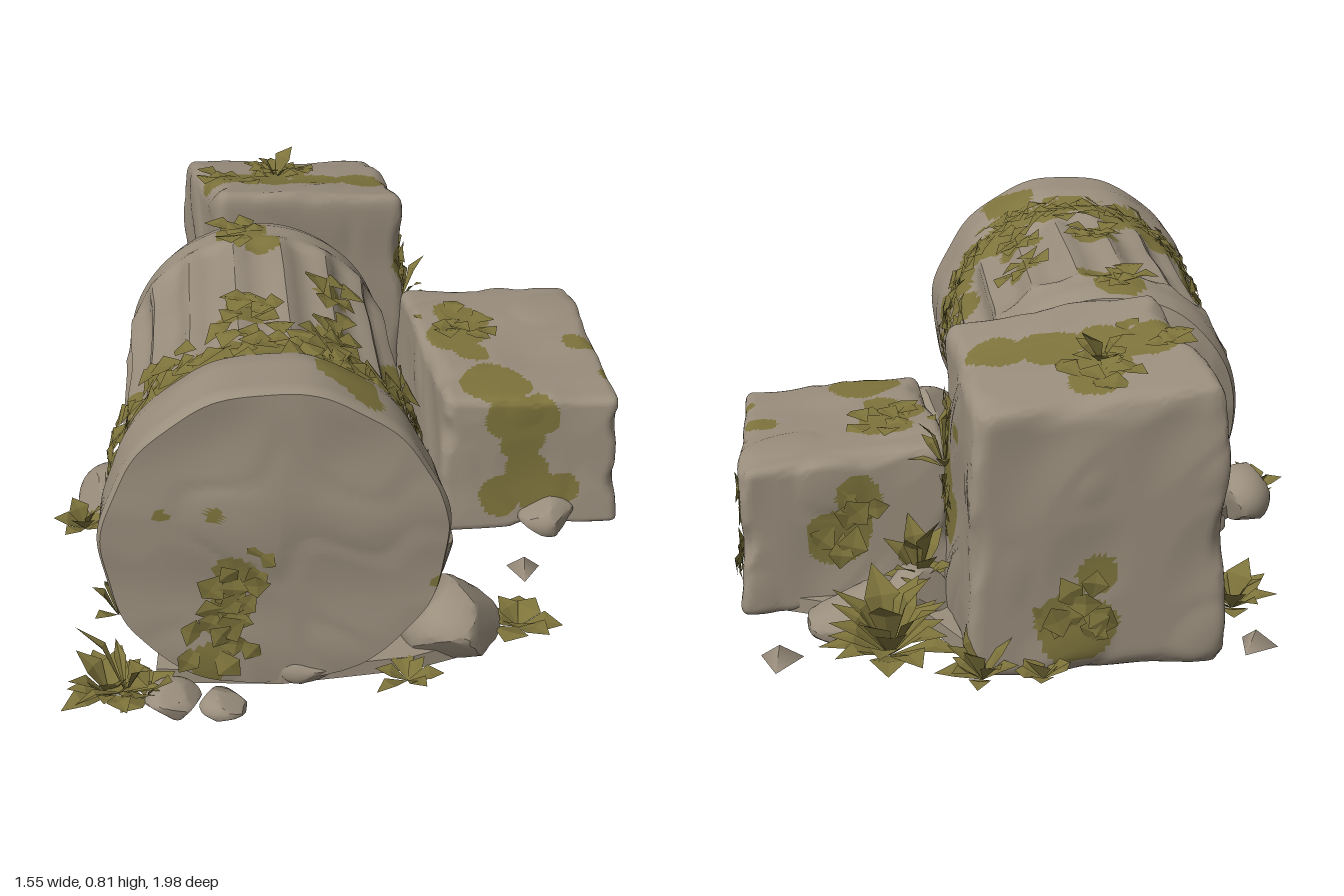
import * as THREE from 'three';
import { toCreasedNormals } from 'three/addons/utils/BufferGeometryUtils.js';

const V = (x, y, z) => new THREE.Vector3(x, y, z);
const AXIS = { x: -0.21, y: 0.402 }; // centre line of the fallen column

// Repeatable random numbers and a smooth bumpy field
let seed = 7;
const rnd = () => (seed = (seed * 16807) % 2147483647) / 2147483647;
const spread = (s) => (rnd() * 2 - 1) * s;
const bump = (p) =>
  0.5 * Math.sin(9 * p.x + 2 * Math.sin(7 * p.y + 1)) * Math.cos(8 * p.z + 1.5 * Math.sin(6 * p.x)) +
  0.3 * Math.sin(17 * p.y + 2 * Math.sin(11 * p.z)) + 0.2 * Math.sin(23 * p.x + 19 * p.z + 15 * p.y);

function eachVertex(geo, rule) {
  const pos = geo.attributes.position, p = V(0, 0, 0);
  for (let i = 0; i < pos.count; i++) {
    rule(p.fromBufferAttribute(pos, i));
    pos.setXYZ(i, p.x, Math.max(0, p.y), p.z);
  }
}

// Sorts the triangles into a stone group and a moss group
function paintMoss(geo, isMoss, crease) {
  const pos = geo.attributes.position, idx = geo.index.array, lists = [[], []], c = V(0, 0, 0), q = V(0, 0, 0);
  for (let i = 0; i < idx.length; i += 3) {
    c.set(0, 0, 0);
    for (let k = 0; k < 3; k++) c.addScaledVector(q.fromBufferAttribute(pos, idx[i + k]), 1 / 3);
    lists[isMoss(c) ? 1 : 0].push(idx[i], idx[i + 1], idx[i + 2]);
  }
  geo.setIndex([...lists[0], ...lists[1]]);
  geo.clearGroups();
  geo.addGroup(0, lists[0].length, 0);
  geo.addGroup(lists[0].length, lists[1].length, 1);
  return toCreasedNormals(geo, crease);
}
const inBlobs = (blobs) => (c) => blobs.some(([x, y, z, r]) =>
  Math.hypot(c.x - x, c.y - y, c.z - z) < r * (1 + 0.15 * Math.sin(30 * c.x + 20 * c.y) * Math.cos(28 * c.z + 16 * c.y)));

// Worn block: rounded, chipped cube stretched over eight corners (bottom then top: LB, RB, RF, LF)
function blockGeometry(corners, blobs) {
  const geo = new THREE.BoxGeometry(2, 2, 2, 46, 46, 46), c = V(0, 0, 0), q = V(0, 0, 0);
  eachVertex(geo, (p) => {
    const r = 0.1 + 0.16 * Math.max(0, bump(q.copy(p).multiplyScalar(0.4))), k = 1 - r;
    c.copy(p).clampScalar(-k, k);
    p.sub(c).setLength(r).add(c);
    const u = (p.x + 1) / 2, v = (p.y + 1) / 2, w = (p.z + 1) / 2, out = V(0, 0, 0);
    corners.forEach((corner, i) => {
      const e = i % 4, wx = e === 1 || e === 2 ? u : 1 - u, wz = e >= 2 ? w : 1 - w;
      out.addScaledVector(V(...corner), wx * wz * (i < 4 ? 1 - v : v));
    });
    const b = bump(out), n = b * 0.012 - 0.012 * Math.max(0, 0.25 - Math.abs(b - 0.3)) + 0.003;
    p.set(out.x + p.x * n, out.y + p.y * n, out.z + p.z * n);
  });
  return paintMoss(geo, inBlobs(blobs), 1);
}

// Column drum: lathe profile along z, flutes carved by angle
function columnGeometry(blobs) {
  const keys = [[0, -0.265], [0.29, -0.275], [0.33, -0.255], [0.347, -0.2], [0.352, -0.13], [0.362, -0.1], [0.362, 0.5],
    [0.372, 0.54], [0.372, 0.59], [0.39, 0.625], [0.402, 0.68], [0.407, 0.815], [0.399, 0.836], [0, 0.838]];
  const profile = [new THREE.Vector2(...keys[0])];
  for (let i = 1; i < keys.length; i++) {
    const a = new THREE.Vector2(...keys[i - 1]), b = new THREE.Vector2(...keys[i]);
    const n = Math.ceil(a.distanceTo(b) / 0.02);
    for (let k = 1; k <= n; k++) profile.push(a.clone().lerp(b, k / n));
  }
  const geo = new THREE.LatheGeometry(profile, 144).rotateX(Math.PI / 2);
  const step = THREE.MathUtils.smoothstep;
  eachVertex(geo, (p) => {
    const r = Math.hypot(p.x, p.y), a = Math.atan2(p.y, p.x), n = bump(p);
    let d = n * 0.007;
    if (p.z > 0.6) d += 0.006 * Math.sin(7 * a + 1) * Math.sin(4 * a) - 0.03 * step(p.z, 0.72, 0.83) * Math.max(0, n - 0.3);
    const flute = THREE.MathUtils.clamp(Math.abs(Math.sin(9 * a)) * 1.25 - 0.25, 0, 1);
    const wear = 1 - 0.45 * step(p.y, 0, 0.3);
    d -= 0.038 * wear * flute * step(p.z, -0.13, -0.07) * (1 - step(p.z, 0.46, 0.53));
    const s = r > 0.25 ? 1 + d / r : 1;
    const dent = 0.015 * Math.max(0, 0.25 - Math.abs(n - 0.2));
    p.set(p.x * s + AXIS.x, p.y * s + AXIS.y, p.z + n * 0.014 - Math.sign(p.z) * dent);
  });
  const blob = inBlobs(blobs);
  return paintMoss(geo, (c) => {
    const a = Math.atan2(c.y - AXIS.y, c.x - AXIS.x);
    const lo = 0.495 + 0.04 * Math.sin(9 * a) * Math.sin(4 * a + 1), hi = 0.612 + 0.015 * Math.sin(13 * a);
    return (c.z > lo && c.z < hi) || blob(c);
  }, 0.6);
}

// Boulder: sphere cut by random planes
function rockGeometry([x, y, z, rx, ry, rz]) {
  const geo = new THREE.IcosahedronGeometry(1, 5);
  const cuts = Array.from({ length: 11 }, () => [V(spread(1), spread(1), spread(1)).normalize(), 0.62 + rnd() * 0.2]);
  eachVertex(geo, (p) => {
    for (const [n, d] of cuts) p.addScaledVector(n, -0.95 * Math.max(0, p.dot(n) - d));
    p.set(x + p.x * rx * 1.15, y + p.y * ry * 1.15, z + p.z * rz * 1.15);
  });
  geo.deleteAttribute('normal');
  return toCreasedNormals(geo, 0.5);
}

// Leaf: four triangles folded along the midrib
function addLeaf(out, base, dir, up, len, wid) {
  const side = V(0, 0, 0).crossVectors(dir, up).normalize();
  const at = (f, s, h) => base.clone().addScaledVector(dir, f * len).addScaledVector(side, s * wid).addScaledVector(up, h * len);
  const b = at(0, 0, 0), m = at(0.6, 0, 0.08), l = at(0.58, -0.5, 0.12), r = at(0.58, 0.5, 0.12), t = at(1, 0, -0.05);
  [b, r, m, b, m, l, m, r, t, m, t, l].forEach((p) => out.push(p.x, Math.max(0.002, p.y), p.z));
}
function leafGeometry(points) {
  const geo = new THREE.BufferGeometry();
  geo.setAttribute('position', new THREE.Float32BufferAttribute(points, 3));
  geo.computeVertexNormals();
  return geo;
}

// Tuft of leaves fanning out of the ground
function tuftGeometry([x, y, z, radius, height, count, width = 0.065]) {
  const out = [];
  for (let i = 0; i < count; i++) {
    const a = i * 2.4 + spread(0.3), lift = (i / count) ** 1.4;
    const flat = radius * (1 - 0.4 * lift) * (0.8 + rnd() * 0.25);
    const dir = V(Math.cos(a) * flat, 0.02 + height * lift, Math.sin(a) * flat);
    const len = dir.length(), up = V(-Math.cos(a) * lift, 1, -Math.sin(a) * lift).normalize();
    addLeaf(out, V(x, y + 0.015, z), dir.normalize(), up, len, width * (0.8 + rnd() * 0.4));
  }
  return leafGeometry(out);
}

// Ivy patch: leaves lying across a surface with the given normal
function ivyLeaves(out, centre, normal, count, size) {
  const t = V(0, 0, 0).crossVectors(normal, Math.abs(normal.y) > 0.8 ? V(1, 0, 0) : V(0, 1, 0)).normalize();
  const s = V(0, 0, 0).crossVectors(normal, t);
  for (let i = 0; i < count; i++) {
    const p = centre.clone().addScaledVector(t, spread(size)).addScaledVector(s, spread(size));
    const a = rnd() * 6.283;
    const dir = t.clone().multiplyScalar(Math.cos(a)).addScaledVector(s, Math.sin(a)).addScaledVector(normal, rnd() * 0.25);
    addLeaf(out, p, dir.normalize(), normal, 0.065 + rnd() * 0.04, 0.055 + rnd() * 0.03);
  }
}

export function createModel() {
  seed = 7;
  const group = new THREE.Group();
  const make = (name, color, side = THREE.FrontSide) => Object.assign(new THREE.MeshStandardMaterial({ color, side }), { name });
  const stone = make('stone', 0x9a8e7d), moss = make('moss', 0x7d733c);
  const leaf = make('leaf', 0x7d733b, THREE.DoubleSide);
  const add = (name, geo, mat) => {
    const mesh = new THREE.Mesh(geo, mat);
    mesh.name = name;
    group.add(mesh);
  };

  // Low rubble bed
  const outline = [[-0.5, 0.8], [-0.2, 0.83], [0.12, 0.8], [0.3, 0.74], [0.27, 0.57], [0.16, 0.48], [0.2, 0.36], [0.19, 0.22], [0.28, 0.14],
    [0.7, 0.14], [0.7, -0.45], [0.44, -0.56], [0.3, -0.58], [0.16, -0.84], [-0.35, -0.8], [-0.3, -0.3], [-0.42, -0.22], [-0.6, 0],
    [-0.5, 0.3], [-0.48, 0.5]];
  const bed = new THREE.Shape(outline.map(([x, z]) => new THREE.Vector2(x, -z)));
  add('rubbleBed', new THREE.ExtrudeGeometry(bed, { depth: 0.04, bevelEnabled: false }).rotateX(-Math.PI / 2), stone);

  // Fallen column
  add('fallenColumn', columnGeometry([
    [-0.25, 0.75, -0.17, 0.075], [-0.2, 0.75, -0.08, 0.05], [-0.25, 0.75, 0.32, 0.07], [-0.02, 0.7, 0.15, 0.05], [-0.03, 0.7, 0.4, 0.07],
    [-0.03, 0.77, 0.68, 0.08], [0, 0.74, 0.76, 0.05], [0.13, 0.52, 0.3, 0.07], [0.14, 0.52, 0.42, 0.07], [-0.47, 0.5, 0.84, 0.018],
    [-0.35, 0.5, 0.84, 0.024], [-0.31, 0.33, 0.84, 0.05], [-0.32, 0.23, 0.84, 0.055], [-0.36, 0.09, 0.84, 0.055],
    [-0.56, 0.5, 0.4, 0.07], [0.17, 0.26, 0.77, 0.06], [0.12, 0.16, 0.76, 0.07], [0.14, 0.27, 0.25, 0.06]]), [stone, moss]);

  // Two tumbled blocks
  add('tallBlock', blockGeometry([
    [-0.41, 0, -0.85], [0.2, 0, -0.89], [0.235, 0, -0.4], [-0.33, 0, -0.32],
    [-0.4, 0.69, -0.85], [0.18, 0.655, -0.895], [0.218, 0.725, -0.42], [-0.3, 0.775, -0.36]],
  [[-0.1, 0.68, -0.77, 0.06], [-0.12, 0.69, -0.69, 0.08], [-0.27, 0.72, -0.58, 0.08], [-0.16, 0.71, -0.59, 0.08], [-0.02, 0.7, -0.59, 0.08],
    [0.11, 0.69, -0.6, 0.07], [0.22, 0.5, -0.47, 0.06], [0.22, 0.38, -0.49, 0.07], [0.22, 0.26, -0.52, 0.08], [0.21, 0.52, -0.64, 0.025],
    [-0.05, 0.12, -0.88, 0.09], [-0.1, 0.25, -0.88, 0.05], [-0.39, 0.15, -0.6, 0.08]]), [stone, moss]);
  add('lowBlock', blockGeometry([
    [0.19, 0, -0.46], [0.735, 0, -0.5], [0.75, 0, 0.18], [0.26, 0, 0.2],
    [0.22, 0.425, -0.45], [0.73, 0.385, -0.5], [0.745, 0.365, 0.16], [0.28, 0.395, 0.18]],
  [[0.37, 0.4, -0.27, 0.08], [0.35, 0.41, -0.17, 0.085], [0.38, 0.4, -0.08, 0.05], [0.42, 0.39, 0.09, 0.09], [0.69, 0.37, -0.15, 0.045],
    [0.45, 0.34, 0.18, 0.065], [0.52, 0.33, 0.18, 0.06], [0.49, 0.26, 0.18, 0.06], [0.5, 0.17, 0.18, 0.06], [0.43, 0.1, 0.18, 0.06],
    [0.53, 0.1, 0.18, 0.06], [0.6, 0.11, 0.18, 0.045], [0.74, 0.25, -0.2, 0.05], [0.75, 0.17, -0.21, 0.07], [0.75, 0.08, -0.24, 0.07],
    [0.74, 0.36, 0.02, 0.03], [0.5, 0.2, -0.48, 0.08], [0.45, 0.3, -0.47, 0.06]]), [stone, moss]);

  // Loose rocks: centre then radii
  [[0.23, 0.06, 0.67, 0.12, 0.1, 0.14], [0.21, 0.05, 0.34, 0.08, 0.08, 0.1], [0.56, 0.03, 0.2, 0.07, 0.05, 0.06],
    [-0.63, 0.05, 0.05, 0.08, 0.08, 0.11], [0.45, 0.05, -0.64, 0.11, 0.08, 0.1], [0.32, 0.05, -0.55, 0.09, 0.08, 0.08],
    [-0.46, 0.025, 0.9, 0.06, 0.04, 0.06], [-0.34, 0.025, 0.92, 0.055, 0.03, 0.05], [-0.12, 0.03, 0.79, 0.1, 0.05, 0.05],
    [-0.2, 0.03, -0.3, 0.16, 0.05, 0.08], [0.11, 0.04, 0.5, 0.1, 0.06, 0.1], [-0.45, 0.04, -0.1, 0.12, 0.06, 0.12],
    [-0.46, 0.04, 0.35, 0.1, 0.05, 0.12]].forEach((r, i) => add('rock' + (i + 1), rockGeometry(r), stone));

  // Sharp three-sided stone chips: position, radius, turn
  [[-0.5, -0.78, 0.055, 0.4], [0.64, -0.75, 0.06, 0.9], [0.46, 0.41, 0.05, 2]].forEach(([x, z, r, turn], i) =>
    add('chip' + (i + 1), new THREE.ConeGeometry(r, 0.045, 3).toNonIndexed().rotateY(turn).translate(x, 0.0225, z), stone));

  // Ground plants: foot, reach, height, leaf count, leaf width
  [[0.38, 0, -0.77, 0.18, 0.2, 26, 0.08], [-0.48, 0, -0.6, 0.12, 0.11, 15], [0.17, 0, -0.91, 0.11, 0.12, 12], [0.03, 0, -0.92, 0.08, 0.06, 6],
    [0.3, 0.08, -0.53, 0.11, 0.18, 13], [0.23, 0.36, -0.48, 0.1, 0.22, 8, 0.045], [-0.7, 0, 0.14, 0.09, 0.08, 9], [0.4, 0, 0.67, 0.11, 0.05, 8, 0.08],
    [-0.61, 0, 0.86, 0.13, 0.1, 13], [-0.57, 0.03, 0.89, 0.14, 0.24, 5, 0.035], [-0.52, 0, 0.88, 0.11, 0.08, 9], [-0.6, 0, 0.54, 0.08, 0.2, 8, 0.05],
    [0.1, 0, 0.86, 0.1, 0.03, 6, 0.05], [-0.41, 0, -0.33, 0.09, 0.08, 7], [-0.13, 0.68, -0.66, 0.08, 0.09, 6]]
    .forEach((t, i) => add('plant' + (i + 1), tuftGeometry(t), leaf));

  // Ivy collar around the column
  const collar = [];
  for (let i = 0; i < 60; i++) {
    const a = -0.75 + (i / 59) * 4.6, n = V(Math.cos(a), Math.sin(a), 0);
    ivyLeaves(collar, V(AXIS.x, AXIS.y, 0.55 + spread(0.055)).addScaledVector(n, 0.37), n, 2, 0.03);
  }
  add('ivyCollar', leafGeometry(collar), leaf);

  // Ivy patches: centre, normal, leaf count, half size
  const patches = [];
  [[-0.25, 0.75, -0.16, 0, 1, 0, 7, 0.05], [-0.25, 0.752, 0.32, 0, 1, 0, 9, 0.045], [-0.03, 0.708, 0.15, 0.5, 0.85, 0, 5, 0.04],
    [-0.03, 0.708, 0.42, 0.5, 0.85, 0, 8, 0.05], [0.13, 0.52, 0.34, 0.95, 0.3, 0, 7, 0.05], [-0.31, 0.31, 0.832, 0, 0, 1, 8, 0.035],
    [-0.34, 0.17, 0.832, 0, 0, 1, 12, 0.05], [-0.12, 0.692, -0.73, 0.05, 1, -0.13, 9, 0.06], [-0.27, 0.725, -0.58, 0.05, 1, -0.13, 6, 0.05],
    [0.212, 0.47, -0.46, 1, 0, 0, 8, 0.04], [0.217, 0.3, -0.5, 1, 0, 0, 10, 0.05], [0.36, 0.406, -0.22, 0.08, 1, 0, 10, 0.06],
    [0.742, 0.2, -0.2, 1, 0, 0, 9, 0.05], [0.744, 0.09, -0.24, 1, 0, 0, 8, 0.05], [-0.06, 0.14, -0.878, 0, 0, -1, 10, 0.06],
    [0.48, 0.24, -0.482, 0, 0, -1, 8, 0.05]].forEach(([x, y, z, nx, ny, nz, n, s]) =>
    ivyLeaves(patches, V(x, y, z), V(nx, ny, nz).normalize(), n, s));
  add('ivyPatches', leafGeometry(patches), leaf);
  return group;
}
